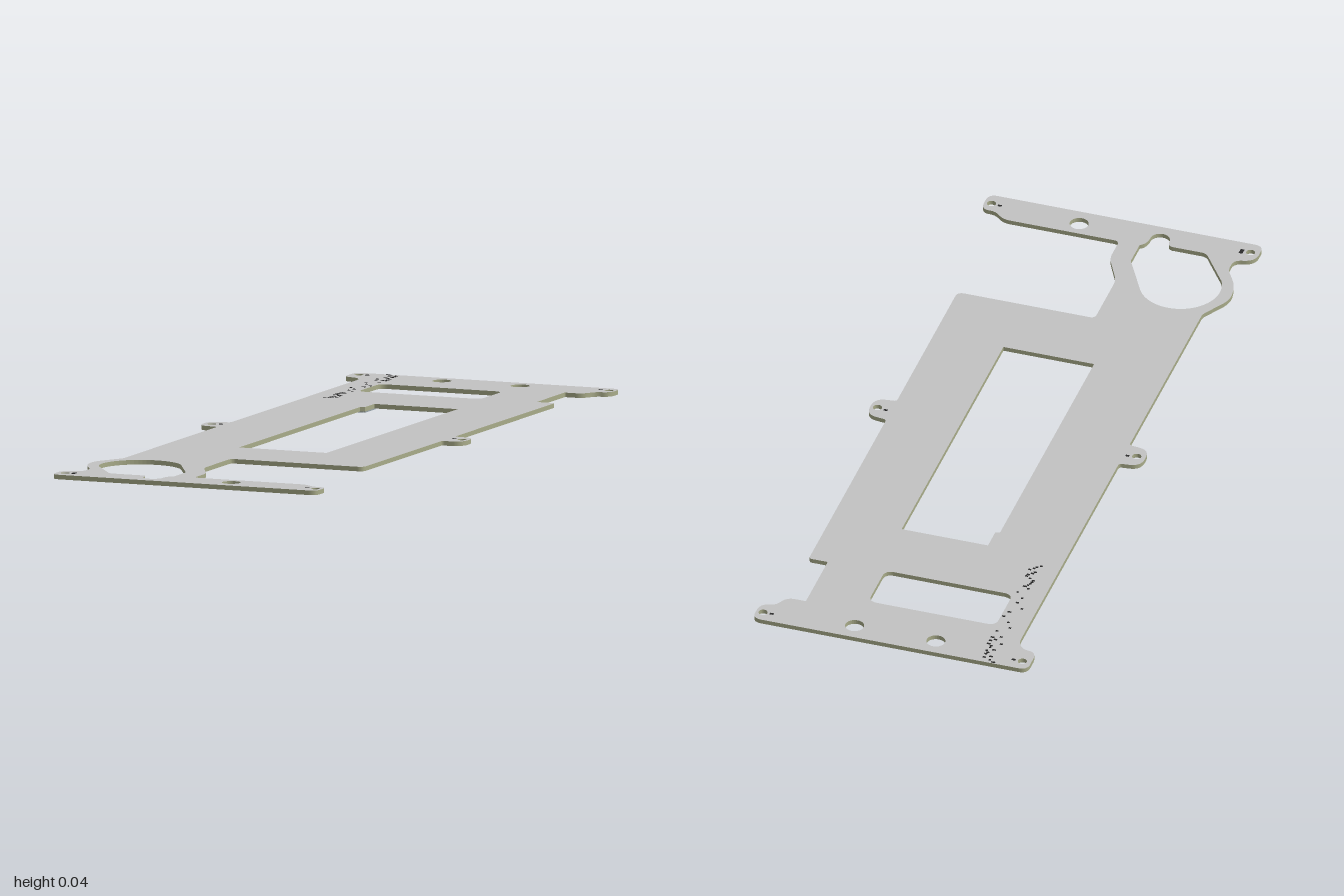
import * as THREE from 'three';

const mat = (name, color) => {
  const m = new THREE.MeshStandardMaterial({ color });
  m.name = name;
  return m;
};

// Draw a closed polygon of [x, z, cornerRadius] into a path
function roundedPath(path, pts) {
  const n = pts.length;
  const towards = (p, q, r) => {
    const d = Math.hypot(q[0] - p[0], q[1] - p[1]);
    const t = Math.min(r / d, 0.5);
    return [p[0] + (q[0] - p[0]) * t, p[1] + (q[1] - p[1]) * t];
  };
  pts.forEach((p, i) => {
    const r = p[2] || 0;
    const a = towards(p, pts[(i + n - 1) % n], r);
    const b = towards(p, pts[(i + 1) % n], r);
    if (i === 0) path.moveTo(...a); else path.lineTo(...a);
    if (r) path.quadraticCurveTo(p[0], p[1], ...b);
  });
  path.closePath();
  return path;
}

const TOP = 0.038, BOTTOM = 0.026;

export function createModel() {
  const group = new THREE.Group();
  const face = mat('boardGrey', 0xc2c2c2);
  const edge = mat('edgeOlive', 0xa9ac8a);
  const housing = mat('connectorGrey', 0x9aa6ac);
  const dark = mat('markDark', 0x2a2a2a);

  // Board outline with mounting ears
  const shape = roundedPath(new THREE.Shape(), [
    [-0.38, -1, 0.025], [0.375, -1, 0.025],
    [0.375, -0.935, 0.03], [0.335, -0.925, 0.015], [0.315, -0.885, 0.02],
    [0.265, -0.885, 0.005], [0.265, -0.7, 0.005], [0.317, -0.7, 0.01],
    [0.317, -0.045, 0.008], [0.375, -0.038, 0.034], [0.375, 0.036, 0.034], [0.317, 0.043, 0.008],
    [0.317, 0.557, 0.02], [-0.06, 0.557, 0.015],
    [-0.06, 0.735, 0.02], [-0.014, 0.825, 0.02], [-0.014, 0.905, 0.015],
    [0.305, 0.905, 0.02], [0.335, 0.932, 0.015], [0.375, 0.932, 0.03],
    [0.375, 1, 0.025], [-0.38, 1, 0.025],
    [-0.38, 0.93, 0.03], [-0.325, 0.915, 0.02], [-0.325, 0.87, 0.015],
    [-0.362, 0.81, 0.03], [-0.372, 0.745, 0.03], [-0.322, 0.66, 0.01],
    [-0.322, 0.043, 0.008], [-0.38, 0.036, 0.034], [-0.38, -0.038, 0.034], [-0.322, -0.045, 0.008],
    [-0.322, -0.89, 0.02], [-0.34, -0.915, 0.015], [-0.38, -0.92, 0.03],
  ]);

  // Rectangular window and stepped long slot
  const cut = (pts) => shape.holes.push(roundedPath(new THREE.Path(), pts));
  cut([[-0.24, -0.835, 0.025], [0.11, -0.835, 0.025], [0.11, -0.69, 0.025], [-0.24, -0.69, 0.025]]);
  cut([[-0.11, -0.5], [0.127, -0.5], [0.127, 0.36], [-0.122, 0.36], [-0.122, -0.435], [-0.11, -0.44]]);

  // Large teardrop opening with a small rounded notch
  const drop = new THREE.Path();
  drop.absarc(-0.227, 0.768, 0.108, Math.PI * 0.85, Math.PI * 1.86, false);
  drop.lineTo(-0.07, 0.83);
  drop.lineTo(-0.07, 0.905);
  drop.quadraticCurveTo(-0.087, 0.915, -0.087, 0.945);
  drop.absarc(-0.113, 0.945, 0.026, 0, Math.PI, false);
  drop.quadraticCurveTo(-0.14, 0.923, -0.155, 0.923);
  drop.lineTo(-0.235, 0.923);
  drop.quadraticCurveTo(-0.25, 0.922, -0.258, 0.908);
  drop.closePath();
  shape.holes.push(drop);

  // Round holes: three large, six small in the ears
  const round = (x, z, r) => {
    const p = new THREE.Path();
    p.absarc(x, z, r, 0, Math.PI * 2, true);
    shape.holes.push(p);
  };
  [[-0.113, -0.95], [0.11, -0.95], [0.11, 0.948]].forEach(([x, z]) => round(x, z, 0.025));
  for (const z of [-0.967, 0, 0.963]) for (const s of [-1, 1]) round(s * 0.356, z, 0.012);

  const boardGeo = new THREE.ExtrudeGeometry(shape, {
    depth: TOP - BOTTOM, bevelEnabled: false, curveSegments: 16,
  });
  boardGeo.rotateX(Math.PI / 2).translate(0, TOP, 0);
  const board = new THREE.Mesh(boardGeo, [face, edge]);
  board.name = 'board';
  group.add(board);

  const box = (parent, name, m, w, h, d, x, y, z) => {
    const mesh = new THREE.Mesh(new THREE.BoxGeometry(w, h, d), m);
    mesh.name = name;
    mesh.position.set(x, y, z);
    parent.add(mesh);
    return mesh;
  };

  // Socket under the board: hollow shell, open below, with contacts
  const socket = new THREE.Group();
  socket.name = 'connector';
  socket.position.set(-0.208, 0, -0.618);
  box(socket, 'connectorBase', housing, 0.076, 0.014, 0.074, 0, 0.019, 0);
  for (const s of [-1, 1]) {
    box(socket, 'connectorSideWall', housing, 0.008, 0.024, 0.066, s * 0.032, 0.012, 0);
    box(socket, 'connectorEndWall', housing, 0.06, 0.024, 0.008, 0, 0.012, s * 0.031);
    box(socket, 'connectorContact', dark, 0.003, 0.014, 0.001, s * 0.009, 0.016, 0.0372);
  }
  group.add(socket);

  // Small printed marks
  let seed = 7;
  const rnd = () => (seed = (seed * 16807) % 2147483647) / 2147483647;
  const marks = new THREE.Group();
  marks.name = 'printedMarks';
  group.add(marks);
  const mark = (x, z, w, d, y) => box(marks, 'mark', dark, w, 0.001, d, x, y, z);
  const upper = TOP + 0.0005, lower = BOTTOM - 0.0005;

  // Rows of dashes along the back left edge, both sides
  for (const y of [upper, lower]) {
    for (let i = 0; i < 60; i++) {
      const z = -0.995 + i * 0.0076;
      if (z > -0.88 && z < -0.66 && i % 3) continue;
      mark(-0.285 + rnd() * 0.04, z, 0.005 + rnd() * 0.006, 0.005, y);
    }
  }
  // Marks beside the ear holes
  for (const z of [-0.967, -0.005, 0.96]) {
    for (const s of [-1, 1]) mark(s * 0.332, z, 0.01, z > 0.5 && s < 0 ? 0.018 : 0.006, upper);
  }
  // Printed patch of short strokes on the underside
  for (let i = 0; i < 60; i++) {
    const long = rnd() > 0.5;
    mark(-0.29 + rnd() * 0.2, 0.4 + rnd() * 0.22, long ? 0.018 : 0.005, long ? 0.005 : 0.016, lower);
  }
  return group;
}
